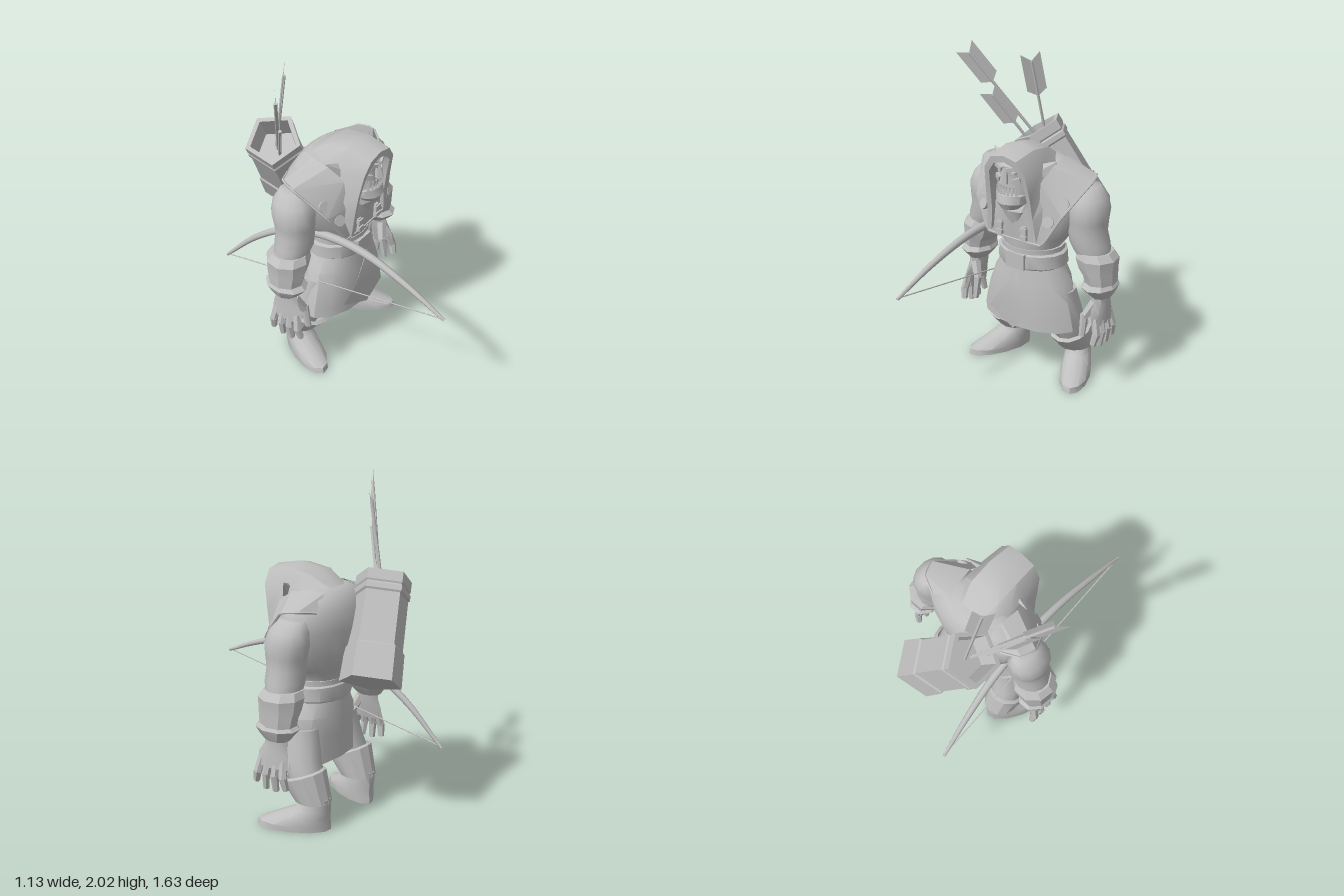
import * as THREE from 'three';
import { toCreasedNormals } from 'three/addons/utils/BufferGeometryUtils.js';

const stone = new THREE.MeshStandardMaterial({ color: 0xbfbfbf, side: THREE.DoubleSide });
stone.name = 'stone grey';
const V = (x, y, z) => new THREE.Vector3(x, y, z);

export function createModel() {
  const model = new THREE.Group();
  model.name = 'archer';

  function add(name, geo, crease = 0.7, parent = model) {
    const mesh = new THREE.Mesh(toCreasedNormals(geo, crease), stone);
    mesh.name = name;
    parent.add(mesh);
    return mesh;
  }
  // Surface through rows of points
  function grid(rows) {
    const pos = rows.flat(2), idx = [], n = rows[0].length;
    for (let r = 0; r < rows.length - 1; r++)
      for (let i = 0; i < n - 1; i++) {
        const a = r * n + i, b = a + 1, c = a + n, d = c + 1;
        idx.push(a, b, c, b, d, c);
      }
    const geo = new THREE.BufferGeometry();
    geo.setAttribute('position', new THREE.Float32BufferAttribute(pos, 3));
    geo.setIndex(idx);
    geo.computeVertexNormals();
    return geo;
  }
  const mirrored = half => [...half.slice(1).reverse().map(([x, y, z]) => [-x, y, z]), ...half];
  // Closed body from rising elliptical rings: [x, y, z, rx, rz, tilt]
  function loft(rings, n = 16, capped = true) {
    const ring = ([x, y, z, rx, rz, tilt = 0]) => Array.from({ length: n + 1 }, (_, i) => {
      const t = i / n * Math.PI * 2, dz = Math.cos(t) * rz;
      return [x + Math.sin(t) * rx, y + tilt * dz, z + dz];
    });
    const rows = rings.map(ring);
    if (capped) {
      const flat = r => ring([r[0], r[1], r[2], 0.0001, 0.0001]);
      rows.unshift(flat(rings[0]));
      rows.push(flat(rings.at(-1)));
    }
    return grid(rows);
  }
  // Tapered rod between two points
  function rod(name, a, b, r0, r1, n = 6, parent = model) {
    const geo = new THREE.CylinderGeometry(r1, r0, a.distanceTo(b), n);
    const mesh = add(name, geo, 0.9, parent);
    mesh.position.copy(a).lerp(b, 0.5);
    mesh.quaternion.setFromUnitVectors(V(0, 1, 0), b.clone().sub(a).normalize());
    return mesh;
  }
  function box(name, w, h, d, x, y, z, rz = 0) {
    const mesh = add(name, new THREE.BoxGeometry(w, h, d));
    mesh.position.set(x, y, z);
    mesh.rotation.z = rz;
    return mesh;
  }
  // Group whose y axis runs from one point to another, with its z axis turned to a facing
  function aimedGroup(name, from, to, facing) {
    const group = new THREE.Group(), up = to.clone().sub(from).normalize();
    const out = facing.clone().addScaledVector(up, -facing.dot(up)).normalize();
    group.name = name;
    group.position.copy(from);
    group.quaternion.setFromRotationMatrix(new THREE.Matrix4().makeBasis(up.clone().cross(out), up, out));
    model.add(group);
    return group;
  }

  // Torso, belt and skirt
  add('torso', loft([[0, .72, -.11, .19, .16], [0, .88, -.11, .19, .17], [0, .95, -.125, .24, .195],
    [0, 1.05, -.145, .31, .21], [0, 1.2, -.155, .35, .21], [0, 1.31, -.17, .35, .18], [0, 1.38, -.18, .25, .13],
    [0, 1.42, -.17, .15, .09]], 20), 1.2);
  add('belt', loft([[0, .75, -.11, .215, .18], [0, .76, -.11, .23, .185], [0, .84, -.11, .225, .18], [0, .85, -.11, .205, .17]]));
  add('upperBelt', loft([[0, .85, -.11, .205, .175], [0, .88, -.11, .205, .175]]));
  box('beltBuckle', .13, .1, .02, 0, .8, .07);
  add('skirt', loft([[0, .365, -.1, .345, .18, -.06], [0, .42, -.1, .335, .18], [0, .54, -.1, .305, .18],
    [0, .66, -.11, .265, .18], [0, .755, -.11, .205, .17]], 14, false), .6);
  add('skirtFlap', grid([[[.02, .74, .08], [.02, .74, .085]], [[-.12, .55, .1], [.1, .57, .125]],
    [[-.2, .44, .07], [.11, .48, .13]], [[-.14, .41, .08], [0, .35, .1]]]));

  // Mantle covering the chest and rising over the shoulders
  const collar = [[0, 1.07, .11], [.1, 1.17, .1], [.16, 1.33, .05], [.18, 1.4, -.05], [.17, 1.42, -.17], [.14, 1.41, -.25]];
  const hem = [[0, .95, .09], [.2, .955, .085], [.31, 1.15, .04], [.4, 1.335, -.14], [.37, 1.345, -.23], [.26, 1.325, -.28]];
  add('mantle', grid([mirrored(collar), mirrored(hem)]), .5);
  const hemCurve = new THREE.CatmullRomCurve3(mirrored(hem).map(p => V(...p)), false, 'catmullrom', .05);
  add('mantleHem', new THREE.TubeGeometry(hemCurve, 48, .008, 5));

  // Hood: inner lining, front rim, crown and nape
  add('hood', grid([
    [[0, 1.46, .06], [.07, 1.44, .06], [.115, 1.38, .05], [.125, 1.25, .06], [.13, 1.12, .08], [.145, 1, .09]],
    [[0, 1.46, .18], [.07, 1.44, .18], [.115, 1.38, .17], [.13, 1.25, .14], [.135, 1.12, .12], [.15, .98, .11]],
    [[0, 1.5, .185], [.09, 1.48, .185], [.145, 1.4, .175], [.16, 1.25, .145], [.165, 1.12, .125], [.18, .97, .11]],
    [[0, 1.535, .02], [.1, 1.51, .03], [.16, 1.41, .03], [.17, 1.27, .03], [.2, 1.2, .04], [.2, 1.1, .07]],
    [[0, 1.51, -.12], [.1, 1.49, -.12], [.165, 1.41, -.1], [.18, 1.36, -.08], [.2, 1.3, -.06], [.22, 1.2, -.02]],
    [[0, 1.41, -.25], [.07, 1.41, -.25], [.13, 1.39, -.23], [.18, 1.37, -.18], [.2, 1.36, -.12], [.22, 1.3, -.06]],
  ].map(mirrored)), .7);

  // Face
  add('face', loft([[0, 1.16, .09, .05, .07], [0, 1.2, .085, .095, .1], [0, 1.26, .07, .11, .095], [0, 1.31, .06, .105, .105],
    [0, 1.36, .05, .1, .11], [0, 1.43, .05, .1, .12], [0, 1.48, .03, .08, .09]], 14), .6);
  add('jaw', loft([[0, 1.17, .1, .055, .08], [0, 1.205, .1, .095, .095], [0, 1.255, .09, .105, .09], [0, 1.27, .08, .1, .08]], 12), .6);
  add('scarf', loft([[0, 1.06, .05, .05, .06], [0, 1.14, .03, .12, .1], [0, 1.2, 0, .145, .1]], 10, false), .6);
  rod('nose', V(0, 1.33, .18), V(0, 1.42, .165), .028, .015, 5);
  for (let i = -3; i <= 3; i++) {
    const x = i * .023, z = .175 - x * x * 5, big = Math.abs(i) === 3;
    rod('tooth', V(x, 1.26, z), V(x, big ? 1.325 : 1.295, z), .011, .001, 4);
    if (i < 3) rod('upperTooth', V(x + .011, 1.31, z - .008), V(x + .011, 1.28, z), .009, .001, 4);
  }

  for (const s of [1, -1]) {
    const side = s > 0 ? 'left' : 'right';
    box(side + 'Brow', .08, .022, .03, s * .05, 1.422, .155, s * .2).rotation.y = s * .4;
    const eye = add(side + 'Eye', new THREE.SphereGeometry(.02, 10, 8), 1.5);
    eye.position.set(s * .047, 1.392, .145);
    eye.scale.y = .6;
    box(side + 'Cheek', .045, .03, .03, s * .062, 1.348, .14, s * .3).rotation.y = s * .5;
    const ear = rod(side + 'Ear', V(s * .14, 1.385, .01), V(s * .23, 1.455, -.03), .045, .002, 5);
    ear.scale.z = .6;

    // Mantle rivets and buckles
    for (const [x, y, z, r] of [[.295, 1.215, .005, .036], [.235, 1.11, .067, .034]]) {
      const rivet = add(side + 'Rivet', new THREE.CylinderGeometry(r, r, .02, 12));
      rivet.position.set(s * x, y, z);
      rivet.quaternion.setFromUnitVectors(V(0, 1, 0), V(s * .35, .35, .87).normalize());
    }
    box(side + 'BuckleStrap', .03, .09, .02, s * .088, 1.01, .1);
    for (const y of [.985, 1.035]) box(side + 'Buckle', .045, .025, .02, s * .088, y, .11);

    // Arm with round shoulder and heavy elbow, then the bracer
    add(side + 'Arm', loft([[s * .44, .8, -.16, .08, .09], [s * .395, .9, -.16, .115, .105, 0], [s * .38, .95, -.155, .125, .115],
      [s * .365, 1.02, -.155, .118, .115], [s * .37, 1.09, -.155, .115, .125], [s * .37, 1.16, -.16, .12, .135],
      [s * .365, 1.23, -.17, .1, .12], [s * .35, 1.29, -.18, .06, .08]], 14), 1.2);
    add(side + 'Bracer', loft([[s * .462, .69, -.165, .09, .11], [s * .455, .76, -.165, .098, .122], [s * .438, .8, -.165, .115, .128],
      [s * .428, .865, -.165, .132, .135], [s * .412, .905, -.165, .112, .115]], 9), .3);
    add(side + 'BracerCuff', loft([[s * .47, .62, -.165, .06, .08], [s * .465, .655, -.16, .085, .11], [s * .46, .69, -.16, .105, .14],
      [s * .458, .715, -.16, .09, .11]], 9), .3);

    // Hand
    add(side + 'Palm', loft([[s * .49, .45, -.145, .028, .11], [s * .48, .52, -.145, .038, .105], [s * .47, .58, -.155, .045, .08],
      [s * .465, .66, -.16, .055, .07]], 8), .8);
    for (let f = 0; f < 4; f++) {
      const z = -.07 - f * .05, end = -.035 - f * .07, drop = [.03, 0, 0, .02][f];
      rod(side + 'Finger', V(s * .485, .5, z), V(s * .51, .4, (z + end) / 2), .025, .025, 6);
      rod(side + 'Fingertip', V(s * .51, .41, (z + end) / 2), V(s * .498, .31 + drop, end), .025, .019, 6);
    }
    rod(side + 'Thumb', V(s * .46, .59, -.11), V(s * .41, .49, -.07), .035, .027, 6);
    rod(side + 'ThumbTip', V(s * .41, .51, -.07), V(s * .412, .37, -.045), .025, .019, 6);

    // Leg, boot cuff and splayed foot
    add(side + 'Leg', loft([[s * .24, .16, -.255, .08, .09], [s * .24, .3, -.2, .1, .11], [s * .22, .42, -.15, .11, .12],
      [s * .18, .6, -.12, .11, .12]], 12), 1);
    add(side + 'BootCuff', loft([[s * .235, .18, -.245, .08, .09], [s * .235, .175, -.245, .108, .115], [s * .24, .32, -.18, .13, .135, -.38],
      [s * .24, .33, -.178, .11, .115, -.38], [s * .24, .28, -.2, .1, .105, -.38]], 12, false), .5);
    const foot = add(side + 'Foot', loft([[0, 0, .225, .092, .225], [0, .035, .22, .095, .22], [0, .085, .165, .09, .16],
      [0, .13, .11, .08, .11], [0, .2, .09, .075, .085]], 12), .7);
    foot.position.set(s * .205, 0, -.355);
    foot.rotation.y = s * .44;
  }

  // Five-sided quiver slung across the back
  const quiver = aimedGroup('quiver', V(.11, .93, -.55), V(-.2, 1.46, -.43), V(.88, .46, .09));
  const profile = [[0, 0], [.188, 0], [.18, .2], [.168, .21], [.162, .51], [.172, .52], [.172, .55], [.163, .56],
    [.17, .57], [.17, .63], [.14, .63], [.13, .48], [0, .48]].map(p => new THREE.Vector2(...p));
  add('quiverBody', new THREE.LatheGeometry(profile, 5), .2, quiver);

  // Arrows with flat notched vanes
  const vane = new THREE.Shape([[0, 0], [.06, .04], [.06, .28], [0, .23], [-.06, .28], [-.06, .04]].map(p => new THREE.Vector2(...p)));
  for (const [tail, root] of [[V(-.52, 1.975, -.125), V(-.17, 1.38, -.42)], [V(-.19, 1.94, -.33), V(-.15, 1.38, -.45)],
    [V(-.405, 1.72, -.2), V(-.23, 1.4, -.36)]]) {
    const arrow = aimedGroup('arrow', root, tail, V(.64, 0, .77)), len = root.distanceTo(tail);
    rod('shaft', V(0, 0, 0), V(0, len - .04, 0), .01, .01, 6, arrow);
    add('fletching', new THREE.ShapeGeometry(vane), .5, arrow).position.y = len - .265;
  }

  // Bow with tapered limbs and a string
  const bowCurve = new THREE.CatmullRomCurve3([V(-.27, .765, .815), V(-.255, .87, .56), V(-.24, .945, .3), V(-.235, .965, .1),
    V(-.235, .94, -.12), V(-.24, .865, -.34), V(-.255, .71, -.57), V(-.27, .47, -.81)]);
  const bowGeo = new THREE.TubeGeometry(bowCurve, 40, .026, 8), bp = bowGeo.attributes.position;
  for (let i = 0; i < bp.count; i++) {
    const t = Math.floor(i / 9) / 40, c = bowCurve.getPointAt(t);
    const p = V(0, 0, 0).fromBufferAttribute(bp, i).lerp(c, .65 * (2 * t - 1) ** 2);
    bp.setXYZ(i, p.x, p.y, p.z);
  }
  add('bow', bowGeo, 1.2);
  rod('bowString', V(-.27, .77, .8), V(-.27, .48, -.8), .004, .004, 5);

  return model;
}
